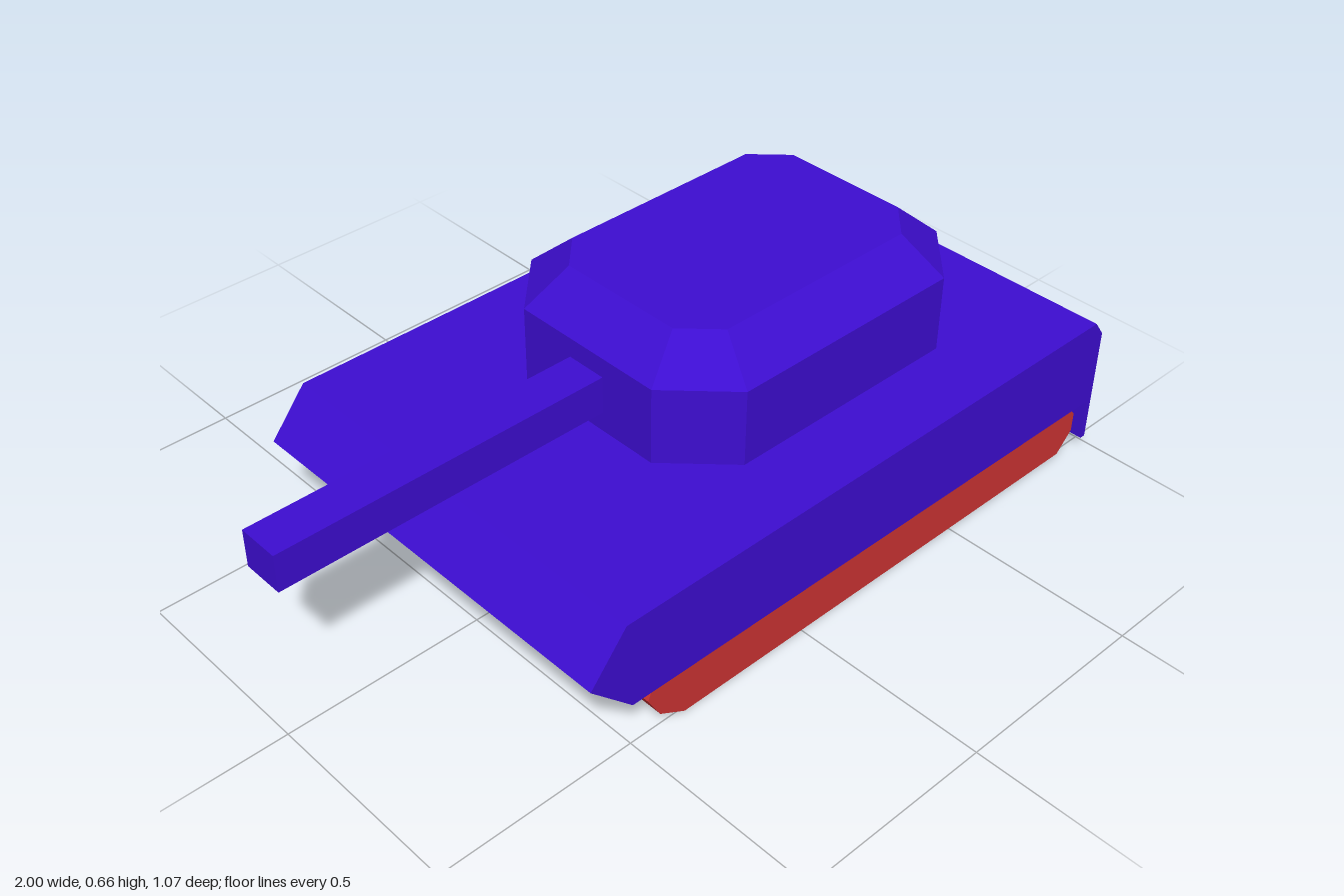
import * as THREE from 'three';

const blue = new THREE.MeshStandardMaterial({ color: 0x3d0dd0, flatShading: true });
const red = new THREE.MeshStandardMaterial({ color: 0xcc3333, flatShading: true });

function addMesh(parent, name, geometry, material) {
  const mesh = new THREE.Mesh(geometry, material);
  mesh.name = name;
  parent.add(mesh);
  return mesh;
}

// Side profile (x, y) extruded across z, from z0 to z1
function slab(points, z0, z1) {
  const shape = new THREE.Shape(points.map(([x, y]) => new THREE.Vector2(x, y)));
  const geometry = new THREE.ExtrudeGeometry(shape, { depth: z1 - z0, bevelEnabled: false });
  return geometry.translate(0, 0, z0);
}

function box(x0, x1, y0, y1, z0, z1) {
  return new THREE.BoxGeometry(x1 - x0, y1 - y0, z1 - z0)
    .translate((x0 + x1) / 2, (y0 + y1) / 2, (z0 + z1) / 2);
}

// Rectangle with cut corners at height y
function octagon(y, x0, x1, z, cutX, cutZ) {
  return [
    [x0, z - cutZ], [x0 + cutX, z], [x1 - cutX, z], [x1, z - cutZ],
    [x1, cutZ - z], [x1 - cutX, -z], [x0 + cutX, -z], [x0, cutZ - z],
  ].map(([px, pz]) => new THREE.Vector3(px, y, pz));
}

// Closed solid through rings listed from bottom to top
function loft(rings) {
  const n = rings[0].length;
  const positions = [];
  const tri = (...corners) => corners.forEach((p) => positions.push(p.x, p.y, p.z));
  for (let r = 0; r < rings.length - 1; r++) {
    const low = rings[r], high = rings[r + 1];
    for (let i = 0; i < n; i++) {
      const j = (i + 1) % n;
      tri(low[i], low[j], high[j]);
      tri(low[i], high[j], high[i]);
    }
  }
  const bottom = rings[0], top = rings[rings.length - 1];
  for (let i = 1; i < n - 1; i++) {
    tri(top[0], top[i], top[i + 1]);
    tri(bottom[0], bottom[i + 1], bottom[i]);
  }
  const geometry = new THREE.BufferGeometry();
  geometry.setAttribute('position', new THREE.Float32BufferAttribute(positions, 3));
  geometry.computeVertexNormals();
  return geometry;
}

export function createModel() {
  const tank = new THREE.Group();
  tank.name = 'tank';

  // Wedge-nosed hull, with the rear plate hanging below the side skirts
  addMesh(tank, 'upperHull', slab([
    [-0.635, 0.265], [-0.525, 0.155], [0.965, 0.147], [0.965, 0.035],
    [0.98, 0.035], [0.98, 0.34], [0.95, 0.38], [-0.54, 0.38],
  ], -0.535, 0.535), blue);

  // Belly between the tracks, continuing the nose slope
  addMesh(tank, 'lowerHull', slab([
    [-0.525, 0.155], [-0.43, 0.06], [0.965, 0.06], [0.965, 0.155],
  ], -0.41, 0.41), blue);

  addMesh(tank, 'rearPanel', box(0.975, 1, 0.085, 0.29, -0.485, 0.485), blue);

  // Tracks, one on each side, with mounts under the skirts
  const trackProfile = [
    [-0.445, 0.137], [-0.46, 0.1], [-0.425, 0.04], [-0.355, 0],
    [0.91, 0], [0.957, 0.05], [0.957, 0.1], [0.925, 0.137],
  ];
  for (const [side, s] of [['left', 1], ['right', -1]]) {
    const z0 = Math.min(s * 0.405, s * 0.51), z1 = z0 + 0.105;
    addMesh(tank, side + 'Track', slab(trackProfile, z0, z1), red);
    addMesh(tank, side + 'TrackMount', box(-0.5, 0.965, 0.135, 0.16, z0, z1), blue);
  }

  // Turret with cut corners and a sloped roof edge
  addMesh(tank, 'turret', loft([
    octagon(0.375, -0.165, 0.74, 0.343, 0.14, 0.14),
    octagon(0.572, -0.165, 0.74, 0.343, 0.14, 0.14),
    octagon(0.66, -0.067, 0.64, 0.243, 0.08, 0.08),
  ]), blue);

  addMesh(tank, 'gunBarrel', box(-1, -0.1, 0.43, 0.523, -0.052, 0.052), blue);

  return tank;
}
